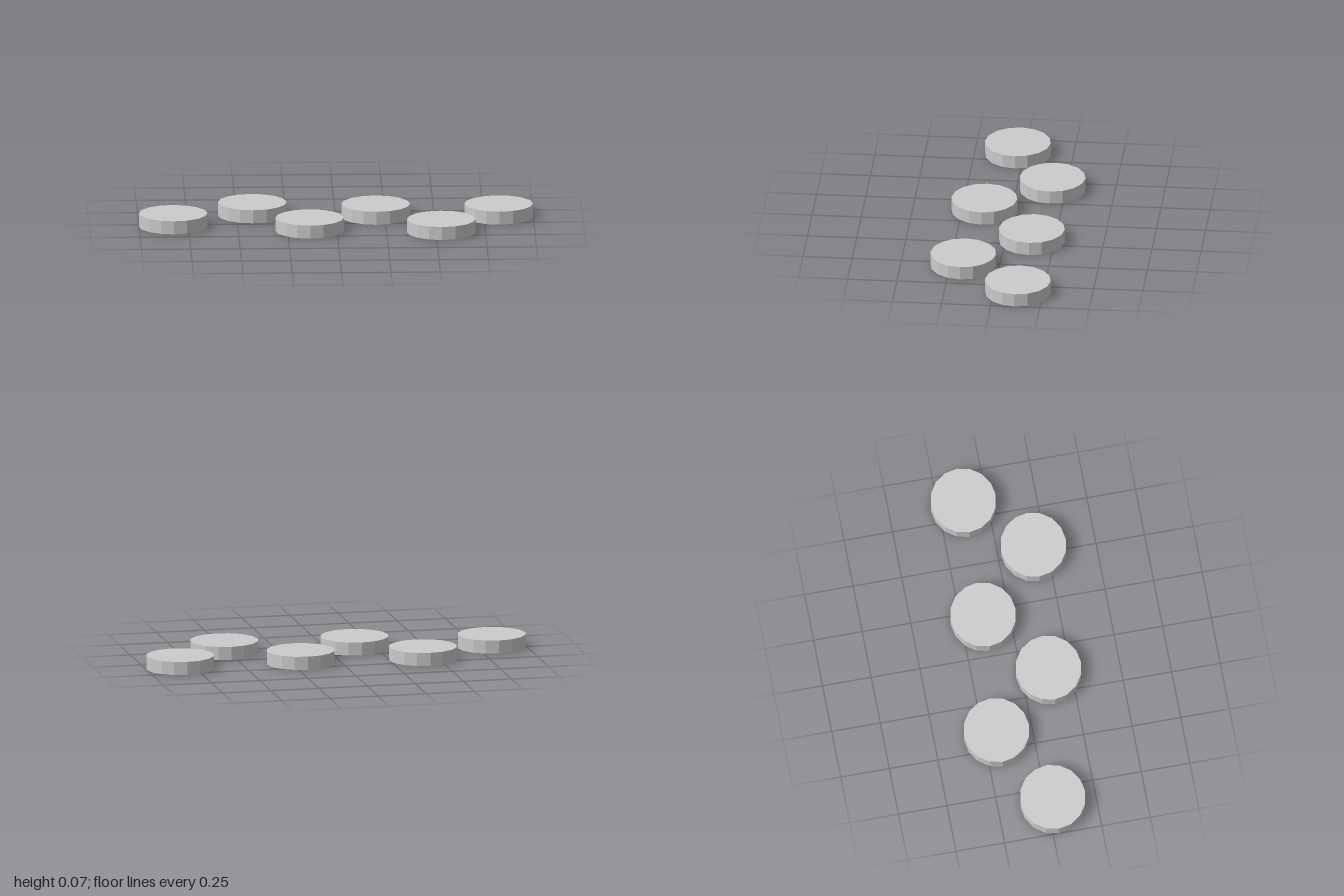
import * as THREE from 'three';

// Six flat stepping discs laid out in a zigzag path.
export function createModel() {
  const group = new THREE.Group();
  group.name = 'steppingDiscs';

  const height = 0.068;
  const material = new THREE.MeshStandardMaterial({ color: 0xcccccc, flatShading: true });

  // Slightly oval 16-sided disc standing on the ground
  const disc = new THREE.CylinderGeometry(1, 1, height, 16);
  disc.scale(0.174, 1, 0.167);
  disc.translate(0, height / 2, 0);

  // Disc centres (x, z), from right to left
  const centres = [
    [-0.826, 0.03], [-0.42, -0.184], [-0.138, 0.137],
    [0.204, -0.136], [0.527, 0.183], [0.826, -0.122],
  ];
  centres.forEach(([x, z], i) => {
    const mesh = new THREE.Mesh(disc, material);
    mesh.name = `disc${i + 1}`;
    mesh.position.set(x, 0, z);
    group.add(mesh);
  });
  return group;
}
